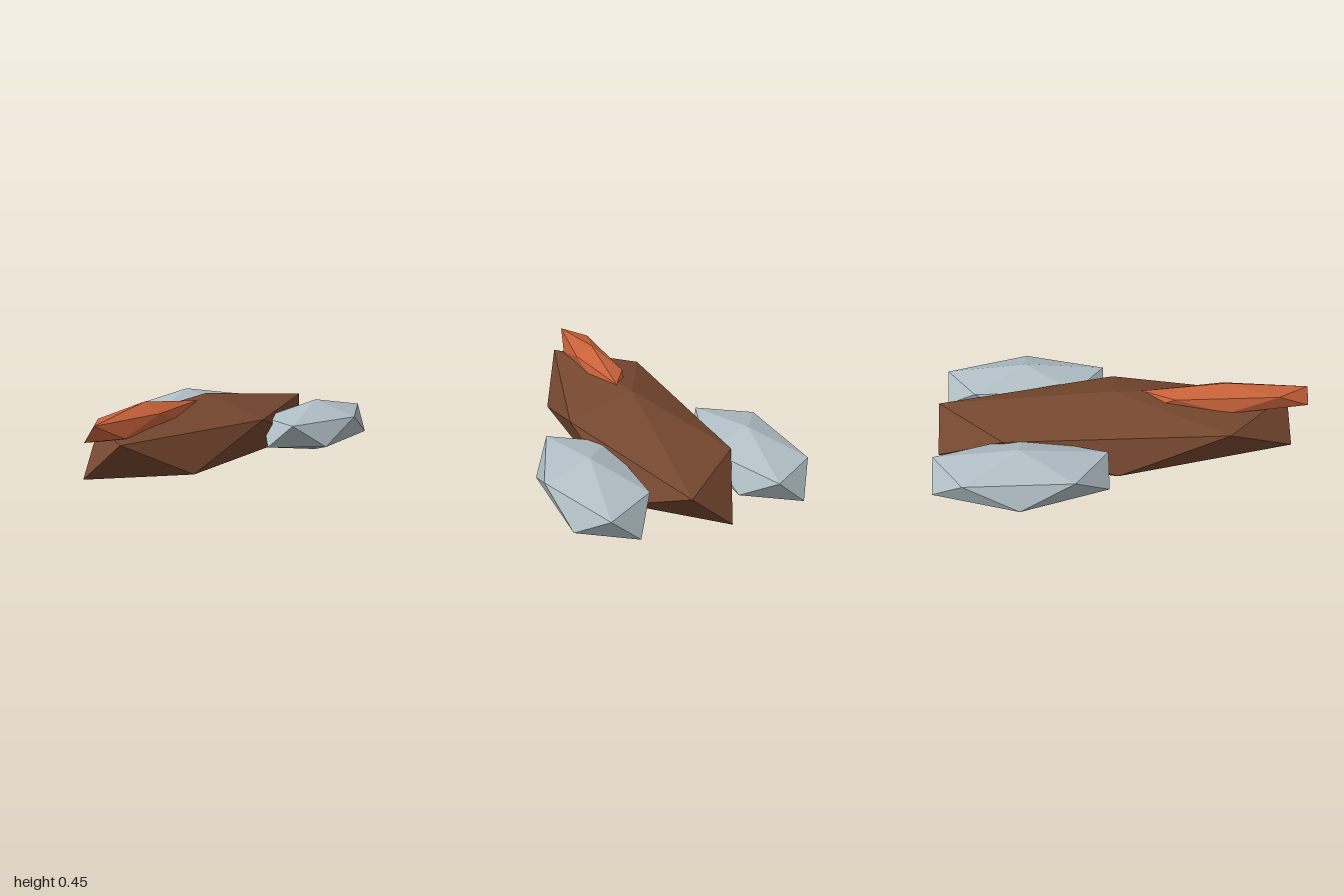
import * as THREE from 'three';

// Unit icosahedron standing on a point: two poles and two staggered rings of five
function uprightIcosahedron() {
  const ring = (offset, y) => Array.from({ length: 5 }, (_, k) => {
    const a = (k + offset) * Math.PI * 2 / 5;
    return [Math.cos(a) * 2 / Math.sqrt(5), y, Math.sin(a) * 2 / Math.sqrt(5)];
  });
  const upper = ring(0, 1 / Math.sqrt(5));
  const lower = ring(0.5, -1 / Math.sqrt(5));
  const top = [0, 1, 0], bottom = [0, -1, 0];
  const corners = [];
  for (let k = 0; k < 5; k++) {
    const n = (k + 1) % 5;
    corners.push(top, upper[n], upper[k]);
    corners.push(upper[k], upper[n], lower[k]);
    corners.push(lower[k], upper[n], lower[n]);
    corners.push(bottom, lower[k], lower[n]);
  }
  const geometry = new THREE.BufferGeometry();
  geometry.setAttribute('position', new THREE.Float32BufferAttribute(corners.flat(), 3));
  return geometry;
}

function material(name, color) {
  const m = new THREE.MeshStandardMaterial({ color });
  m.name = name;
  return m;
}

// Stretched faceted solid, with the radii baked in so that the normals stay exact
function facetedPart(name, mat, radii, centre) {
  const geometry = uprightIcosahedron().scale(...radii);
  geometry.computeVertexNormals();
  const mesh = new THREE.Mesh(geometry, mat);
  mesh.name = name;
  mesh.position.set(...centre);
  return mesh;
}

export function createModel() {
  const brown = material('brown', 0x75472f);
  const paleGrey = material('pale grey', 0xb0bec5);
  const orange = material('orange', 0xc8623a);

  const model = new THREE.Group();
  model.name = 'facetedModel';

  // Long central body and the slim ridge on its front
  model.add(facetedPart('body', brown, [0.394, 0.21, 1.123], [0, 0.213, -0.045]));
  model.add(facetedPart('frontRidge', orange, [0.105, 0.0925, 0.529], [0, 0.3625, 0.55]));

  // Rear side pods, both facing the same way
  for (const [name, side] of [['leftPod', 1], ['rightPod', -1]]) {
    model.add(facetedPart(name, paleGrey, [0.263, 0.1435, 0.526], [side * 0.43, 0.2135, -0.5425]));
  }
  return model;
}
